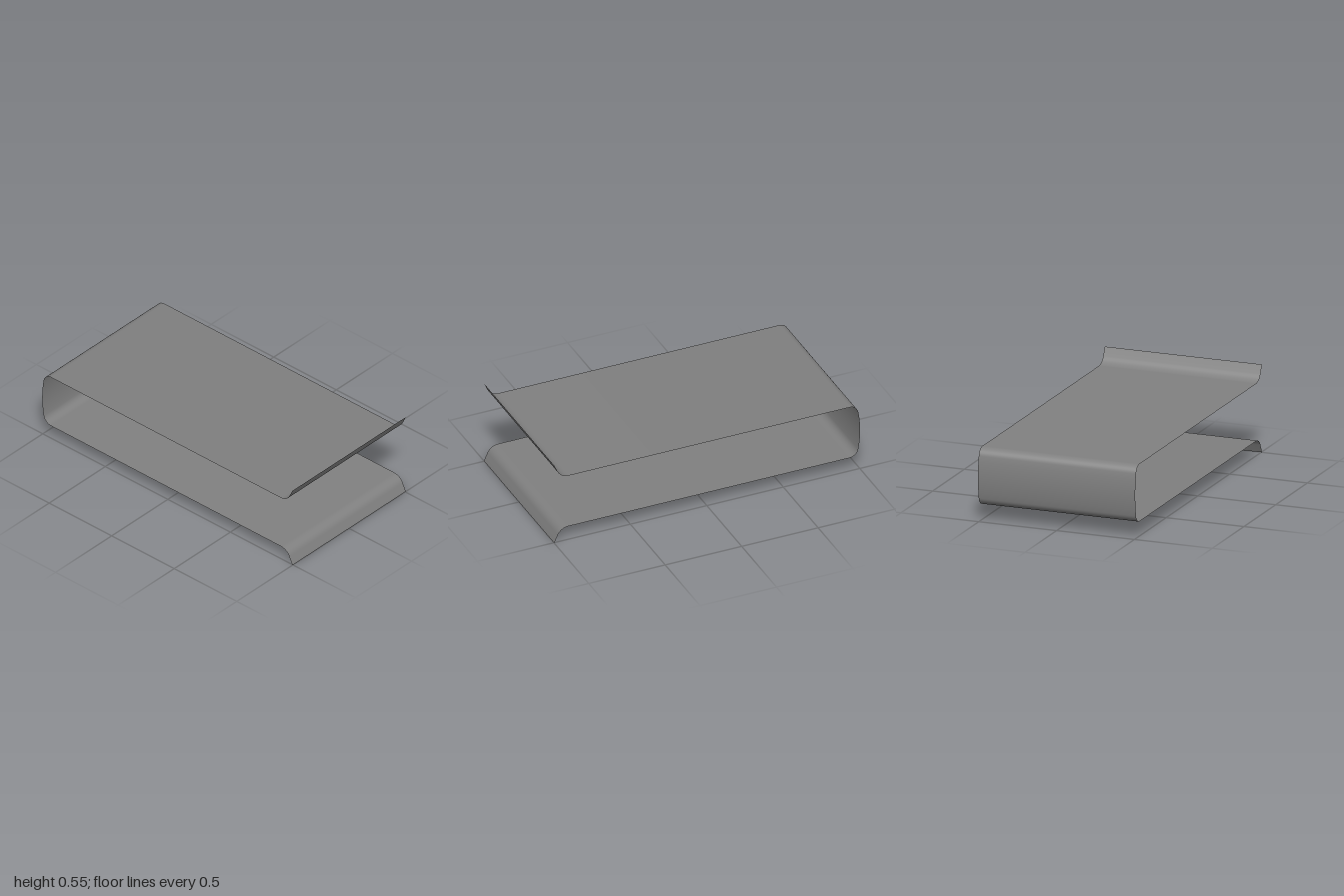
import * as THREE from 'three';

const WIDTH = 1.01;
const HEIGHT = 0.545; // tip of lower lip to tip of upper lip
const SHEET = 0.095; // height of the lower sheet
const LIP_R = 0.075; // bend radius at the lips
const CORNER_R = 0.058; // bend radius at the back corners
const LIP = THREE.MathUtils.degToRad(65); // slope of the lips
const BULGE = THREE.MathUtils.degToRad(11); // tilt of the back wall at its ends

// Points [z, y] along a circular bend
function bend(z, y, radius, from, to, steps = 8) {
  return Array.from({ length: steps + 1 }, (_, i) => {
    const a = from + ((to - from) * i) / steps;
    return new THREE.Vector2(z + radius * Math.cos(a), y + radius * Math.sin(a));
  });
}

// Side profile: lower lip, lower sheet, half the bulging wall, then the mirrored upper half
function profile() {
  const start = Math.PI / 2 - LIP;
  const lipY = SHEET - LIP_R;
  const joinY = lipY + LIP_R * Math.sin(start);
  const lipZ = 1 - joinY / Math.tan(LIP) - LIP_R * Math.cos(start);

  const cornerY = SHEET + CORNER_R;
  const wallR = (HEIGHT / 2 - cornerY) / Math.sin(BULGE) + CORNER_R;
  const wallZ = wallR - 1;
  const cornerZ = wallZ - (wallR - CORNER_R) * Math.cos(BULGE);
  const lower = [
    new THREE.Vector2(1, 0),
    ...bend(lipZ, lipY, LIP_R, start, Math.PI / 2),
    ...bend(cornerZ, cornerY, CORNER_R, Math.PI * 1.5, Math.PI + BULGE),
    ...bend(wallZ, HEIGHT / 2, wallR, Math.PI + BULGE, Math.PI, 4).slice(1),
  ];
  const upper = lower.map((p) => new THREE.Vector2(p.x, HEIGHT - p.y)).reverse();
  return [...lower, ...upper.slice(1)];
}

// Sweep the profile across the width, with smooth normals
function ribbon(points, width) {
  const positions = [], normals = [], index = [];
  const direction = (i) => points[i + 1].clone().sub(points[i]).normalize();
  const last = points.length - 1;
  points.forEach((p, i) => {
    const t = new THREE.Vector2();
    if (i > 0) t.add(direction(i - 1));
    if (i < last) t.add(direction(i));
    t.normalize();
    for (const x of [-width / 2, width / 2]) {
      positions.push(x, p.y, p.x);
      normals.push(0, t.x, -t.y);
    }
    if (i < last) {
      const a = i * 2;
      index.push(a, a + 2, a + 1, a + 1, a + 2, a + 3);
    }
  });
  const geometry = new THREE.BufferGeometry();
  geometry.setAttribute('position', new THREE.Float32BufferAttribute(positions, 3));
  geometry.setAttribute('normal', new THREE.Float32BufferAttribute(normals, 3));
  geometry.setIndex(index);
  return geometry;
}

export function createModel() {
  const group = new THREE.Group();
  group.name = 'bentSheetClip';
  const material = new THREE.MeshStandardMaterial({ color: 0x808080, side: THREE.DoubleSide });
  const sheet = new THREE.Mesh(ribbon(profile(), WIDTH), material);
  sheet.name = 'bentSheet';
  group.add(sheet);
  return group;
}
